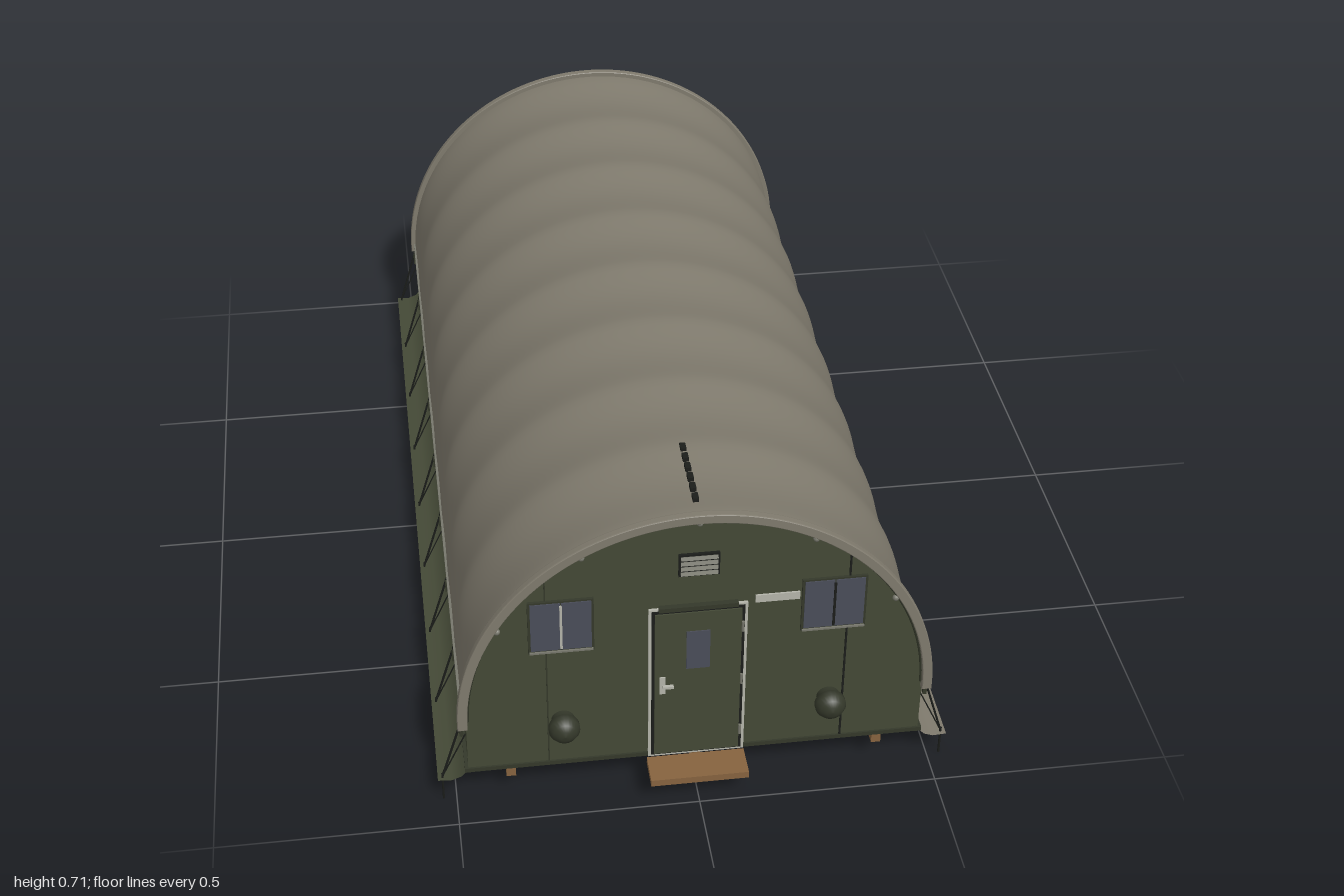
import * as THREE from 'three';

const mat = (name, color, side = THREE.FrontSide) => {
  const m = new THREE.MeshStandardMaterial({ color, side });
  m.name = name;
  return m;
};

export function createModel() {
  const M = {
    canvas: mat('canvas', 0x7f7a6d, THREE.DoubleSide),
    green: mat('olive green', 0x444936, THREE.DoubleSide),
    trim: mat('dark olive', 0x34382a),
    frame: mat('pale metal', 0xb4b4aa),
    metal: mat('grey metal', 0x77776c),
    glass: mat('window glass', 0x4a4d59),
    dark: mat('black', 0x1b1d1a),
    wood: mat('wood', 0x86633f),
    floor: mat('floor underside', 0x282c30),
  };
  const root = new THREE.Group();
  root.name = 'shelter';
  const CY = 0.22, R = 0.48, BAY = 0.23;

  const add = (parent, name, geo, material, x = 0, y = 0, z = 0) => {
    const mesh = new THREE.Mesh(geo, material);
    mesh.name = name;
    mesh.position.set(x, y, z);
    parent.add(mesh);
    return mesh;
  };
  const box = (parent, name, material, x0, x1, y0, y1, z0, z1) =>
    add(parent, name, new THREE.BoxGeometry(x1 - x0, y1 - y0, z1 - z0), material,
      (x0 + x1) / 2, (y0 + y1) / 2, (z0 + z1) / 2);
  const rod = (parent, name, material, a, b, r) => {
    const d = b.clone().sub(a);
    const mesh = add(parent, name, new THREE.CylinderGeometry(r, r, d.length(), 6), material);
    mesh.position.copy(a).addScaledVector(d, 0.5);
    mesh.quaternion.setFromUnitVectors(new THREE.Vector3(0, 1, 0), d.normalize());
  };

  // Arched canvas, sagging between the ribs
  const roof = new THREE.PlaneGeometry(Math.PI, 1.86, 48, 96);
  const p = roof.attributes.position;
  for (let i = 0; i < p.count; i++) {
    const a = Math.PI / 2 - p.getX(i), z = -p.getY(i);
    const sag = 0.012 * Math.pow(Math.abs(Math.sin(Math.PI * z / BAY)), 1.3);
    const r = R - sag * Math.sqrt(Math.max(0, Math.sin(a)));
    p.setXYZ(i, Math.cos(a) * r, CY + Math.sin(a) * r, z);
  }
  roof.computeVertexNormals();
  add(root, 'roofCanvas', roof, M.canvas);

  // Dashed slot line along the ridge
  for (let i = 0; i < 6; i++) {
    const z = 0.705 + i * 0.033;
    box(root, 'ridgeSlot', M.dark, -0.006, 0.006, 0.695, 0.704, z - 0.01, z + 0.01);
  }

  // Side walls, floor and timber runners
  box(root, 'floorPlate', M.floor, -0.47, 0.47, 0.078, 0.088, -0.925, 0.925);
  for (const x of [-0.385, 0, 0.385])
    box(root, 'runner', M.wood, x - 0.01, x + 0.01, 0.055, 0.079, -0.93, 0.93);

  // Ground skirt cross-section
  const skirtShape = [[0.472, 0.085], [0.488, 0.066], [0.508, 0.058], [0.537, 0.06]];
  for (const s of [-1, 1]) {
    const side = new THREE.Group();
    side.name = s > 0 ? 'leftSide' : 'rightSide';
    root.add(side);
    add(side, 'sideWall', new THREE.BoxGeometry(0.012, 0.15, 1.85), M.green, s * 0.467, 0.153, 0);
    add(side, 'eaveRail', new THREE.BoxGeometry(0.012, 0.016, 1.86), M.metal, s * 0.478, 0.222, 0);
    add(side, 'baseRail', new THREE.BoxGeometry(0.012, 0.015, 1.86), M.trim, s * 0.474, 0.083, 0);

    const skirt = new THREE.PlaneGeometry(1, 1.86, skirtShape.length - 1, 1);
    const q = skirt.attributes.position;
    for (let i = 0; i < q.count; i++) {
      const [x, y] = skirtShape[Math.round((s * q.getX(i) + 0.5) * 3)];
      q.setXYZ(i, s * x, y, -q.getY(i));
    }
    skirt.computeVertexNormals();
    add(side, 'groundSkirt', skirt, s > 0 ? M.canvas : M.green);

    // Guy ropes and stakes at every rib
    for (let i = -4; i <= 4; i++) {
      const z = i * BAY;
      const foot = new THREE.Vector3(s * 0.527, 0.062, z);
      rod(side, 'guyRope', M.dark, new THREE.Vector3(s * 0.48, 0.218, z), foot, 0.0025);
      rod(side, 'lowerRope', M.dark, new THREE.Vector3(s * 0.475, 0.175, z), foot, 0.0015);
      rod(side, 'stake', M.dark, new THREE.Vector3(s * 0.527, 0, z), new THREE.Vector3(s * 0.527, 0.07, z), 0.0025);
      add(side, 'ropeBuckle', new THREE.BoxGeometry(0.008, 0.03, 0.012), M.trim, s * 0.483, 0.19, z);
    }
  }

  // One gable end, built facing +z; m mirrors the details
  const buildEnd = (name, m, front) => {
    const g = new THREE.Group();
    g.name = name;
    root.add(g);

    const wall = new THREE.Shape();
    wall.moveTo(-0.473, 0.078);
    wall.lineTo(0.473, 0.078);
    wall.lineTo(0.473, CY);
    wall.absarc(0, CY, 0.473, 0, Math.PI, false);
    add(g, 'endWall', new THREE.ExtrudeGeometry(wall, { depth: 0.015, bevelEnabled: false, curveSegments: 48 }),
      M.green, 0, 0, 0.915);

    // Padded rim of the canvas
    const rim = new THREE.Shape();
    rim.absarc(0, 0, 0.489, 0, Math.PI, false);
    rim.lineTo(-0.489, -0.012);
    rim.lineTo(-0.472, -0.012);
    rim.lineTo(-0.472, 0);
    rim.absarc(0, 0, 0.472, Math.PI, 0, true);
    rim.lineTo(0.472, -0.012);
    rim.lineTo(0.489, -0.012);
    add(g, 'canvasRim', new THREE.ExtrudeGeometry(rim, {
      depth: 0.012, bevelThickness: 0.003, bevelSize: 0.002, bevelSegments: 2, curveSegments: 48,
    }), M.canvas, 0, CY, 0.93);
    add(g, 'rimSeam', new THREE.TorusGeometry(0.47, 0.004, 6, 64, Math.PI), M.trim, 0, CY, 0.932);
    box(g, 'sill', M.trim, -0.48, 0.48, 0.08, 0.09, 0.925, 0.934);

    // Seams in the wall panels
    box(g, 'wallSeam', M.dark, 0.303, 0.307, 0.09, 0.58, 0.929, 0.9325);
    box(g, 'wallSeam', M.trim, -0.307, -0.304, 0.09, 0.58, 0.929, 0.9315);

    // Windows with two panes each
    for (const s of [-1, 1]) {
      const w = new THREE.Group();
      w.name = 'window';
      w.position.x = s * 0.275;
      g.add(w);
      box(w, 'windowFrame', M.trim, -0.066, 0.066, 0.388, 0.52, 0.929, 0.936);
      for (const k of [-1, 1])
        box(w, 'windowPane', M.glass, k * 0.031 - 0.03, k * 0.031 + 0.03, 0.397, 0.516, 0.934, 0.938);
      box(w, 'windowBar', s * m < 0 ? M.frame : M.dark, -0.0025, 0.0025, 0.4, 0.51, 0.935, 0.94);
      box(w, 'windowSill', M.metal, -0.064, 0.064, 0.39, 0.394, 0.934, 0.94);
    }

    // Door with frame, glazed panel, handle and hinges
    box(g, 'doorFrame', M.frame, -0.1, 0.1, 0.08, 0.476, 0.929, 0.936);
    box(g, 'doorGap', M.dark, -0.094, 0.094, 0.086, 0.472, 0.932, 0.938);
    box(g, 'doorHead', M.trim, -0.08, 0.08, 0.472, 0.482, 0.93, 0.942);
    box(g, 'doorLeaf', M.green, -0.088, 0.088, 0.09, 0.466, 0.934, 0.941);
    box(g, 'doorGlass', M.glass, -0.024, 0.024, 0.32, 0.418, 0.938, 0.943);
    const handle = new THREE.Group();
    handle.name = 'doorHandle';
    handle.position.x = -0.072 * m;
    g.add(handle);
    box(handle, 'handlePlate', M.frame, -0.006, 0.006, 0.258, 0.302, 0.94, 0.944);
    box(handle, 'handleLever', M.frame, m > 0 ? 0 : -0.022, m > 0 ? 0.022 : 0, 0.276, 0.282, 0.944, 0.951);
    for (const y of [0.14, 0.28, 0.42])
      add(g, 'hinge', new THREE.CylinderGeometry(0.003, 0.003, 0.025, 8), M.metal, 0.09 * m, y, 0.942);

    // Blank notice plates
    add(g, 'noticePlate', new THREE.BoxGeometry(0.09, 0.018, 0.004), M.frame, 0.16 * m, 0.481, 0.932);
    if (!front)
      add(g, 'noticePanel', new THREE.BoxGeometry(0.05, 0.04, 0.004), M.frame, 0.145 * m, 0.39, 0.932);

    // Louvred vent
    box(g, 'ventFrame', M.dark, -0.041, 0.041, 0.556, 0.61, 0.929, 0.936);
    for (let i = 0; i < 4; i++) {
      const slat = add(g, 'ventSlat', new THREE.BoxGeometry(0.074, 0.008, 0.004), M.metal, 0, 0.564 + i * 0.0127, 0.938);
      slat.rotation.x = -0.4;
    }

    // Lacing studs under the rim
    for (const a of [30, 60, 90, 120, 150]) {
      const t = a * Math.PI / 180;
      add(g, 'rimStud', new THREE.SphereGeometry(0.007, 10, 8), M.metal,
        Math.cos(t) * 0.464, CY + Math.sin(t) * 0.464, 0.932);
    }

    // Hooded round ports on the front only
    if (front) {
      const prof = [[0.024, 0], [0.024, 0.018], [0.032, 0.02], [0.032, 0.034], [0.024, 0.046], [0.012, 0.053], [0, 0.055]]
        .map(([x, y]) => new THREE.Vector2(x, y));
      for (const s of [-1, 1]) {
        const port = add(g, 'roundPort', new THREE.LatheGeometry(prof, 24), M.trim, s * 0.275, 0.201, 0.93);
        port.rotation.x = Math.PI / 2;
      }
    }

    // Wooden step
    box(g, 'step', M.wood, -0.102, 0.102, 0.056, 0.072, 0.93, 1.0);
    return g;
  };
  buildEnd('frontEnd', 1, true);
  buildEnd('backEnd', -1, false).rotation.y = Math.PI;

  return root;
}
